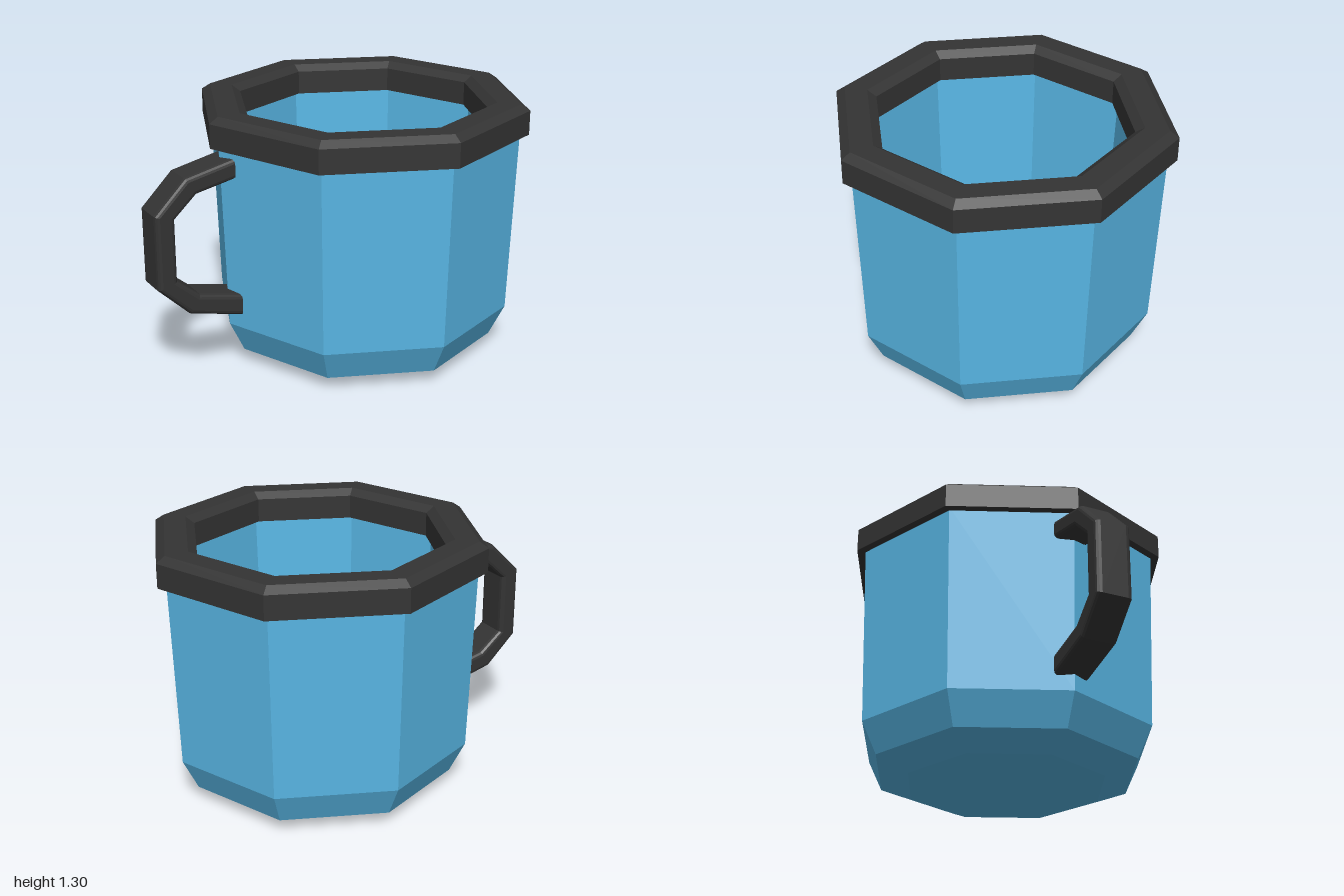
import * as THREE from 'three';

// Faceted normals: every triangle keeps its own
function faceted(geometry) {
  const g = geometry.index ? geometry.toNonIndexed() : geometry;
  g.computeVertexNormals();
  return g;
}

function octagonLathe(profile) {
  return faceted(new THREE.LatheGeometry(profile.map(([r, y]) => new THREE.Vector2(r, y)), 8));
}

// Round-edged cross-section as [share of the way from outer to inner, z]
function roundedSection(halfWidth, radius, share, steps) {
  const points = [];
  for (let corner = 0; corner < 4; corner++) {
    const inner = corner === 1 || corner === 2;
    const back = corner >= 2;
    for (let s = 0; s <= steps; s++) {
      const a = Math.PI - (corner + s / steps) * Math.PI / 2;
      points.push([
        (inner ? 1 - share : share) + Math.cos(a) * share,
        (back ? radius - halfWidth : halfWidth - radius) + Math.sin(a) * radius,
      ]);
    }
  }
  return points;
}

// Bar whose cross-sections span pairs of outer and inner outline points
function handleGeometry(outer, inner, section) {
  const n = section.length, positions = [], index = [];
  outer.forEach(([ox, oy], i) => {
    const [ix, iy] = inner[i];
    for (const [t, z] of section) positions.push(ox + (ix - ox) * t, oy + (iy - oy) * t, z);
  });
  for (let i = 0; i < outer.length - 1; i++) {
    for (let j = 0; j < n; j++) {
      const a = i * n + j, b = i * n + (j + 1) % n;
      index.push(a, a + n, b, b, a + n, b + n);
    }
  }
  // End caps
  const last = (outer.length - 1) * n;
  for (let j = 1; j < n - 1; j++) {
    index.push(0, j, j + 1, last, last + j + 1, last + j);
  }
  const g = new THREE.BufferGeometry();
  g.setAttribute('position', new THREE.Float32BufferAttribute(positions, 3));
  g.setIndex(index);
  return faceted(g);
}

export function createModel() {
  const blue = new THREE.MeshStandardMaterial({ color: 0x58b6e4 });
  blue.name = 'blue enamel';
  const dark = new THREE.MeshStandardMaterial({ color: 0x343434 });
  dark.name = 'dark grey';

  const group = new THREE.Group();
  group.name = 'mug';
  const add = (name, geometry, material, x = 0) => {
    const mesh = new THREE.Mesh(geometry, material);
    mesh.name = name;
    mesh.position.x = x;
    group.add(mesh);
  };
  const cupX = 0.165;

  // Hollow cup: up the outside, over the lip, down the inside to the floor
  add('cup', octagonLathe([
    [0, 0], [0.515, 0], [0.683, 0.068], [0.76, 0.228], [0.791, 1.17],
    [0.665, 1.17], [0.628, 0.25], [0.6, 0.15], [0.515, 0.115], [0, 0.115],
  ]), blue, cupX);

  // Rim band with bevelled top edges
  add('rim', octagonLathe([
    [0.63, 1.15], [0.835, 1.15], [0.835, 1.27], [0.79, 1.3],
    [0.675, 1.3], [0.63, 1.27], [0.63, 1.15],
  ]), dark, cupX);

  // Handle on the right side
  add('handle', handleGeometry(
    [[-0.585, 1.11], [-0.84, 1.055], [-1, 0.895], [-1, 0.525], [-0.84, 0.37], [-0.565, 0.3]],
    [[-0.585, 1.01], [-0.785, 0.97], [-0.9, 0.865], [-0.9, 0.555], [-0.785, 0.46], [-0.565, 0.41]],
    roundedSection(0.09, 0.025, 0.22, 3),
  ), dark);

  return group;
}
